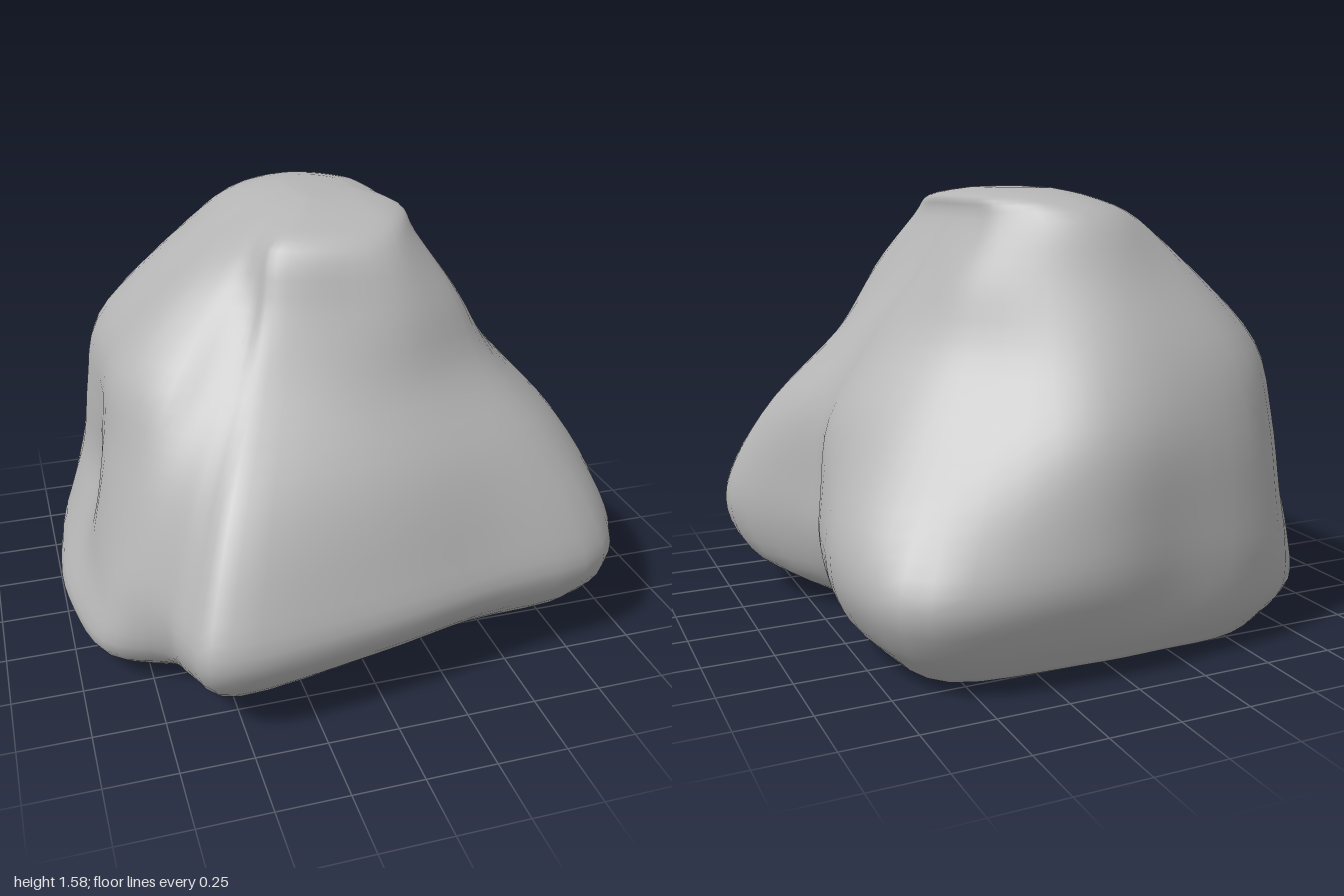
import * as THREE from 'three';

const CENTRE_Z = -0.15;
const STEPS = 4; // subdivisions between neighbouring control points

// Directions of the lobes and hollows in degrees, from +x round through +z (front)
const ANGLES = [0, 14, 28, 45, 67, 92, 117, 126, 134, 146, 162, 180, 205, 230, 255, 280, 312, 335];

// Heights of the cross-sections and their radii in each direction
const HEIGHTS = [0.04, 0.16, 0.33, 0.52, 0.78, 1.03, 1.27, 1.47];
const RADII = [
  [.62, .62, .74, .88, .70, .70, .88, .88, .88, .95, .95, .94, .90, .80, .69, .69, .84, .74],
  [.75, .74, 1.02, 1.12, .92, .94, 1.13, 1.08, 1.02, 1.10, 1.04, 1.0, 1.0, .89, .77, .77, .95, .86],
  [.80, .80, 1.13, 1.24, 1.05, 1.06, 1.25, 1.17, 1.06, 1.06, .96, .90, .97, .92, .80, .83, 1.01, .93],
  [.79, .79, 1.10, 1.18, 1.0, 1.0, 1.16, 1.09, 1.01, .99, .91, .81, .92, .91, .80, .82, .89, .89],
  [.74, .75, .95, .99, .88, .87, .96, .92, .89, .89, .85, .80, .88, .88, .78, .76, .68, .70],
  [.58, .60, .70, .76, .70, .67, .70, .70, .71, .77, .79, .76, .82, .81, .70, .60, .51, .52],
  [.41, .42, .49, .62, .61, .54, .54, .51, .51, .54, .57, .55, .60, .63, .57, .48, .42, .41],
  [.28, .29, .34, .45, .50, .45, .44, .40, .36, .33, .30, .29, .33, .42, .46, .40, .33, .29],
];

// One cross-section of control points; the underside dips slightly toward -x
function section(radii, y, scale = 1, offsetX = 0) {
  return radii.map((radius, i) => {
    const angle = THREE.MathUtils.degToRad(ANGLES[i]);
    const r = radius * scale;
    const x = Math.cos(angle) * r + offsetX;
    const dip = 0.042 * Math.min(0, x) * Math.max(0, 1 - y / 0.4);
    return new THREE.Vector3(x, y + dip, CENTRE_Z + Math.sin(angle) * r);
  });
}

function splinePoint(a, b, c, d, t) {
  const mix = (k) => b[k] + 0.5 * t * (c[k] - a[k]
    + t * (2 * a[k] - 5 * b[k] + 4 * c[k] - d[k] + t * (3 * (b[k] - c[k]) + d[k] - a[k])));
  return new THREE.Vector3(mix('x'), mix('y'), mix('z'));
}

// Smooth a closed loop of points
function smoothLoop(points) {
  const n = points.length, out = [];
  for (let i = 0; i < n; i++) {
    for (let s = 0; s < STEPS; s++) {
      out.push(splinePoint(points[(i + n - 1) % n], points[i], points[(i + 1) % n], points[(i + 2) % n], s / STEPS));
    }
  }
  return out;
}

// Fill in smooth rows between the cross-sections
function smoothRows(loops) {
  const last = loops.length - 1, rows = [];
  for (let i = 0; i < last; i++) {
    const before = loops[Math.max(i - 1, 0)], after = loops[Math.min(i + 2, last)];
    for (let s = 0; s < STEPS; s++) {
      rows.push(loops[i].map((p, j) => splinePoint(before[j], p, loops[i + 1][j], after[j], s / STEPS)));
    }
  }
  rows.push(loops[last]);
  return rows;
}

function rockGeometry() {
  const crown = RADII[RADII.length - 1];
  const sections = RADII.map((radii, i) => section(radii, HEIGHTS[i]));
  // domed crown, leaning toward the steep +x side
  sections.push(section(crown, 1.545, 0.72, 0.06), section(crown, 1.575, 0.35, 0.06));
  const rows = smoothRows(sections.map(smoothLoop));
  // inset row that keeps the underside flat
  rows.unshift(smoothLoop(section(RADII[0], HEIGHTS[0], 0.92)));

  const around = rows[0].length;
  const points = rows.flat(), indices = [];
  const bottom = points.push(new THREE.Vector3(0, HEIGHTS[0], CENTRE_Z)) - 1;
  const top = points.push(new THREE.Vector3(0.05, 1.58, CENTRE_Z)) - 1;
  const topRow = (rows.length - 1) * around;
  for (let j = 0; j < around; j++) {
    const k = (j + 1) % around;
    for (let i = 0; i < topRow; i += around) {
      indices.push(i + j, i + j + around, i + k, i + k, i + j + around, i + k + around);
    }
    indices.push(bottom, j, k, topRow + j, top, topRow + k);
  }
  const geometry = new THREE.BufferGeometry().setFromPoints(points);
  geometry.setIndex(indices);
  geometry.computeVertexNormals();
  return geometry;
}

export function createModel() {
  const group = new THREE.Group();
  group.name = 'boulder';
  const stone = new THREE.MeshStandardMaterial({ color: 0xb4b4b4 });
  stone.name = 'stone grey';
  const rock = new THREE.Mesh(rockGeometry(), stone);
  rock.name = 'rock';
  group.add(rock);
  return group;
}
